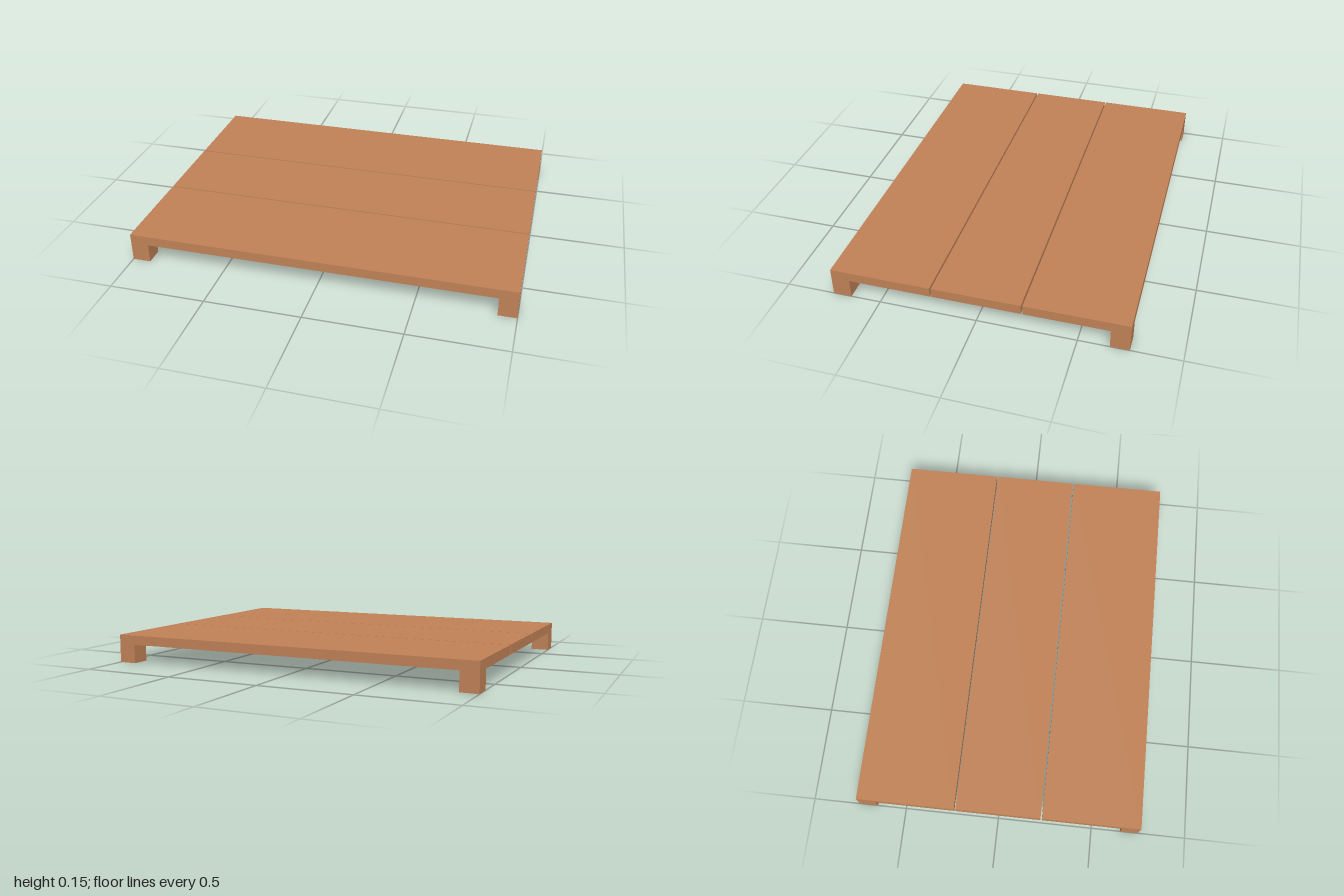
import * as THREE from 'three';

export function createModel() {
  const group = new THREE.Group();
  const wood = new THREE.MeshStandardMaterial({ color: 0xc18257 });
  wood.name = 'warm wood';

  const top = 0.15, under = 0.1;   // deck surface and underside heights
  const halfDepth = 0.75, leg = 0.095;

  const box = (name, w, h, d, x, y, z) => {
    const mesh = new THREE.Mesh(new THREE.BoxGeometry(w, h, d), wood);
    mesh.name = name;
    mesh.position.set(x, y, z);
    group.add(mesh);
  };

  // Three deck planks with narrow gaps between them
  const plank = (name, z0, z1) =>
    box(name, 2, top - under, z1 - z0, 0, (top + under) / 2, (z0 + z1) / 2);
  plank('backPlank', -halfDepth, -0.232);
  plank('middlePlank', -0.224, 0.224);
  plank('frontPlank', 0.232, halfDepth);

  // Square legs flush with the corners
  for (const [side, sx] of [['Left', 1], ['Right', -1]]) {
    for (const [end, sz] of [['front', 1], ['back', -1]]) {
      box(`${end}${side}Leg`, leg, under, leg,
        sx * (1 - leg / 2), under / 2, sz * (halfDepth - leg / 2));
    }
  }
  return group;
}
